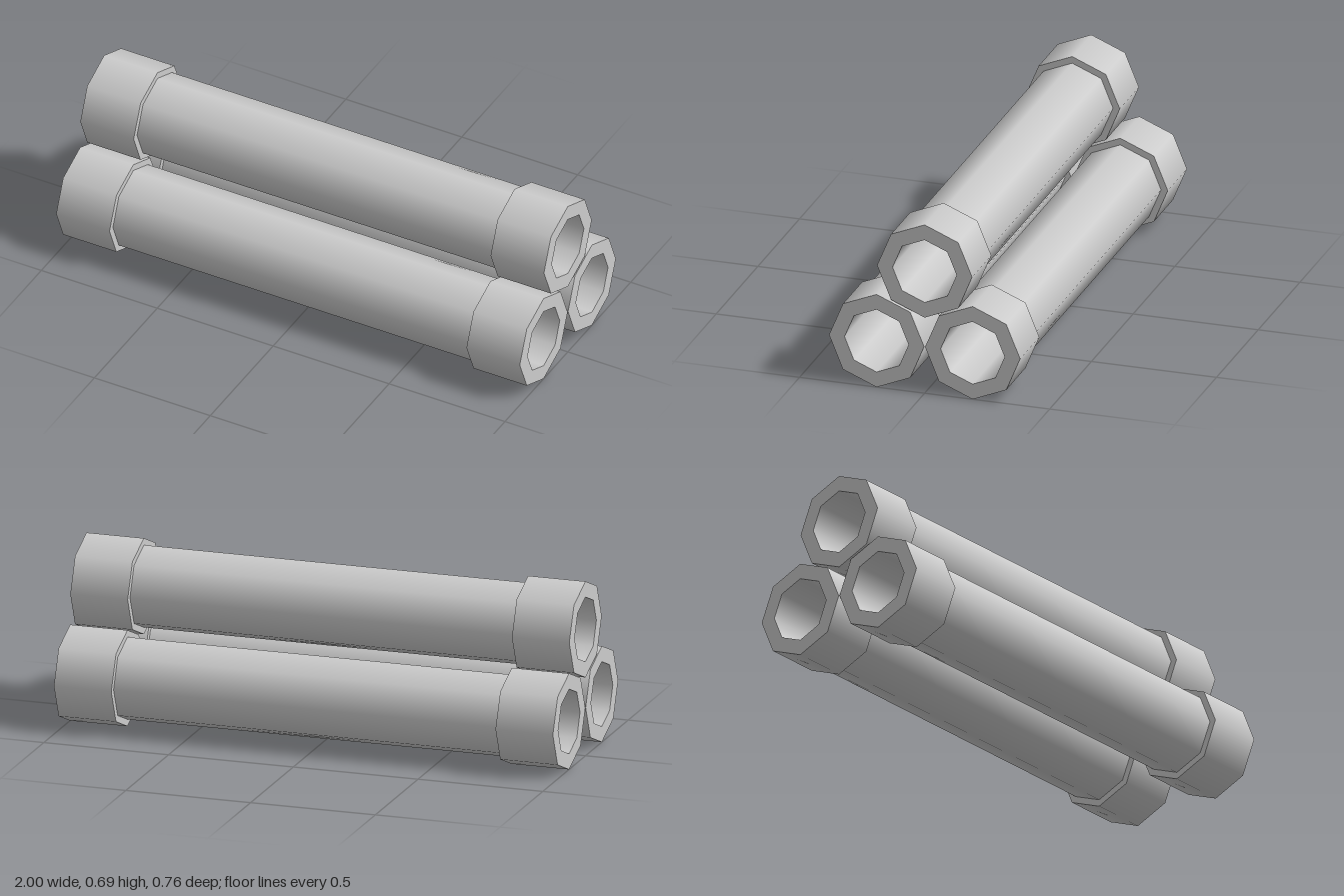
import * as THREE from 'three';

const SIDES = 8;
const R_COLLAR = 0.19, R_PIPE = 0.163, R_BORE = 0.128;
const END = 1, COLLAR = 0.77;

// One surface of revolution along x, from (r0, x0) to (r1, x1); smooth around, sharp between surfaces
function surface(name, material, r0, x0, r1, x1) {
  const points = [new THREE.Vector2(r0, x0), new THREE.Vector2(r1, x1)];
  const mesh = new THREE.Mesh(new THREE.LatheGeometry(points, SIDES), material);
  mesh.rotation.z = -Math.PI / 2;
  mesh.name = name;
  return mesh;
}

// Hollow octagonal pipe with a thicker collar at each end
function makePipe(material) {
  const pipe = new THREE.Group();
  pipe.add(
    surface('pipeWall', material, R_PIPE, -COLLAR, R_PIPE, COLLAR),
    surface('pipeBore', material, R_BORE, END, R_BORE, -END),
    surface('leftCollar', material, R_COLLAR, COLLAR, R_COLLAR, END),
    surface('leftCollarRim', material, R_COLLAR, END, R_BORE, END),
    surface('leftCollarStep', material, R_PIPE, COLLAR, R_COLLAR, COLLAR),
    surface('rightCollar', material, R_COLLAR, -END, R_COLLAR, -COLLAR),
    surface('rightCollarRim', material, R_BORE, -END, R_COLLAR, -END),
    surface('rightCollarStep', material, R_COLLAR, -COLLAR, R_PIPE, -COLLAR)
  );
  return pipe;
}

export function createModel() {
  const model = new THREE.Group();
  model.name = 'pipeStack';
  const grey = new THREE.MeshStandardMaterial({ color: 0xcccccc });
  grey.name = 'light grey';

  // Two pipes on the ground, one resting on top
  const places = [
    ['frontPipe', 0.19, 0.192],
    ['backPipe', 0.19, -0.192],
    ['topPipe', 0.5, 0],
  ];
  for (const [name, y, z] of places) {
    const pipe = makePipe(grey);
    pipe.name = name;
    pipe.position.set(0, y, z);
    model.add(pipe);
  }
  return model;
}
